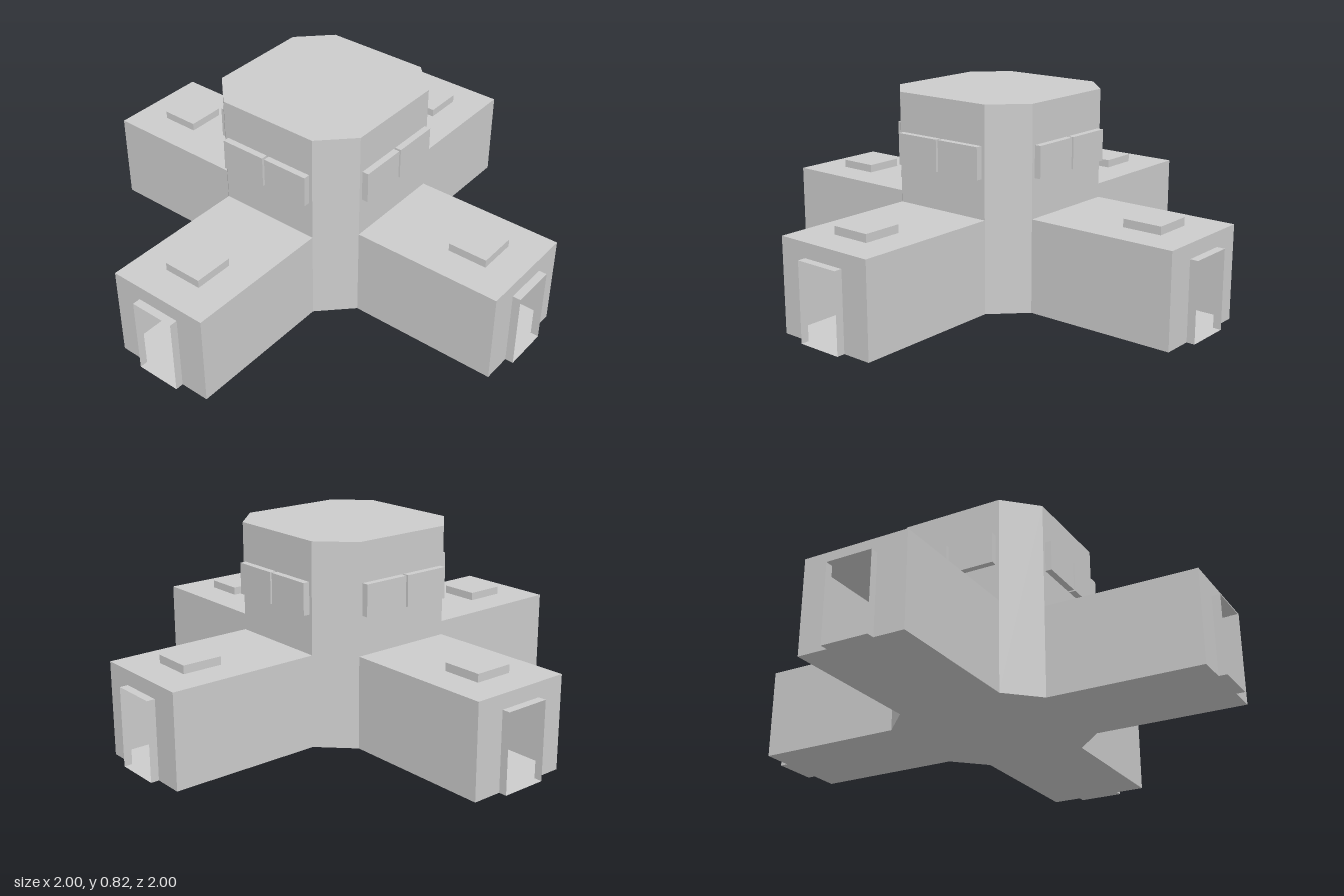
import * as THREE from 'three';

const ARM = 0.218, CORE = 0.345, END = 0.967, TIP = 1;   // plan half-sizes
const ARM_H = 0.377, CORE_H = 0.823;                     // heights
const DOOR_W = 0.095, DOOR_H = 0.317;                    // door half-width, height

const material = new THREE.MeshStandardMaterial({
  color: 0xcccccc, flatShading: true, side: THREE.DoubleSide,
});

function add(parent, name, geometry, x = 0, y = 0, z = 0) {
  const mesh = new THREE.Mesh(geometry, material);
  mesh.name = name;
  mesh.position.set(x, y, z);
  parent.add(mesh);
  return mesh;
}

const shapeOf = (points) => new THREE.Shape(points.map(([x, y]) => new THREE.Vector2(x, y)));

// Upright sheets swept along a row of [x, y] points from z0 to z1
function sheet(points, z0, z1) {
  const pos = [], index = [];
  for (let i = 0; i + 1 < points.length; i++) {
    const [a, b] = [points[i], points[i + 1]];
    const k = pos.length / 3;
    pos.push(...a, z0, ...b, z0, ...b, z1, ...a, z1);
    index.push(k, k + 1, k + 2, k, k + 2, k + 3);
  }
  const g = new THREE.BufferGeometry();
  g.setAttribute('position', new THREE.Float32BufferAttribute(pos, 3));
  g.setIndex(index);
  g.computeVertexNormals();
  return g;
}

// One wing with its share of the tower, facing +z
function createWing() {
  const wing = new THREE.Group();
  wing.name = 'wing';

  // Side walls and roof, clockwise seen from the front so they face outward
  add(wing, 'wingWallsAndRoof',
    sheet([[ARM, 0], [ARM, ARM_H], [-ARM, ARM_H], [-ARM, 0]], END, CORE));

  // End wall with the doorway cut out
  add(wing, 'endWall', new THREE.ShapeGeometry(shapeOf([
    [-ARM, 0], [-DOOR_W, 0], [-DOOR_W, DOOR_H], [DOOR_W, DOOR_H],
    [DOOR_W, 0], [ARM, 0], [ARM, ARM_H], [-ARM, ARM_H],
  ])), 0, 0, END);

  // Thin projecting door surround with threshold
  add(wing, 'doorFrame', sheet([
    [DOOR_W, 0], [DOOR_W, DOOR_H], [-DOOR_W, DOOR_H], [-DOOR_W, 0], [DOOR_W, 0],
  ], TIP, END));

  // Roof hatch
  add(wing, 'roofHatch', new THREE.BoxGeometry(0.164, 0.033, 0.164), 0, ARM_H + 0.0165, 0.752);

  // Tower wall above the wing, with a pair of windows
  add(wing, 'towerWall', new THREE.PlaneGeometry(2 * ARM, CORE_H - ARM_H),
    0, (CORE_H + ARM_H) / 2, CORE);
  for (const side of [-1, 1]) {
    add(wing, 'window', new THREE.BoxGeometry(0.198, 0.128, 0.027),
      side * 0.104, 0.6, CORE + 0.0135);
  }

  // Slanted tower corner running from the ground to the roof
  const cut = CORE - ARM;
  const corner = add(wing, 'towerCorner', new THREE.PlaneGeometry(cut * Math.SQRT2, CORE_H),
    (CORE + ARM) / 2, CORE_H / 2, (CORE + ARM) / 2);
  corner.rotation.y = Math.PI / 4;
  return wing;
}

export function createModel() {
  const model = new THREE.Group();
  model.name = 'crossBuilding';

  for (let i = 0; i < 4; i++) {
    const wing = createWing();
    wing.rotation.y = i * Math.PI / 2;
    model.add(wing);
  }

  // Octagonal roof and cross-shaped floor, each from a quarter outline turned four times
  const turned = (quarter) => {
    const out = [];
    for (let i = 0; i < 4; i++) {
      const c = [1, 0, -1, 0][i], s = [0, 1, 0, -1][i];
      for (const [x, y] of quarter) out.push([x * c - y * s, x * s + y * c]);
    }
    return new THREE.ShapeGeometry(shapeOf(out));
  };
  const roof = add(model, 'towerRoof', turned([[CORE, -ARM], [CORE, ARM]]), 0, CORE_H, 0);
  roof.rotation.x = -Math.PI / 2;
  const floor = add(model, 'floor',
    turned([[CORE, -ARM], [END, -ARM], [END, ARM], [CORE, ARM]]));
  floor.rotation.x = -Math.PI / 2;

  return model;
}
